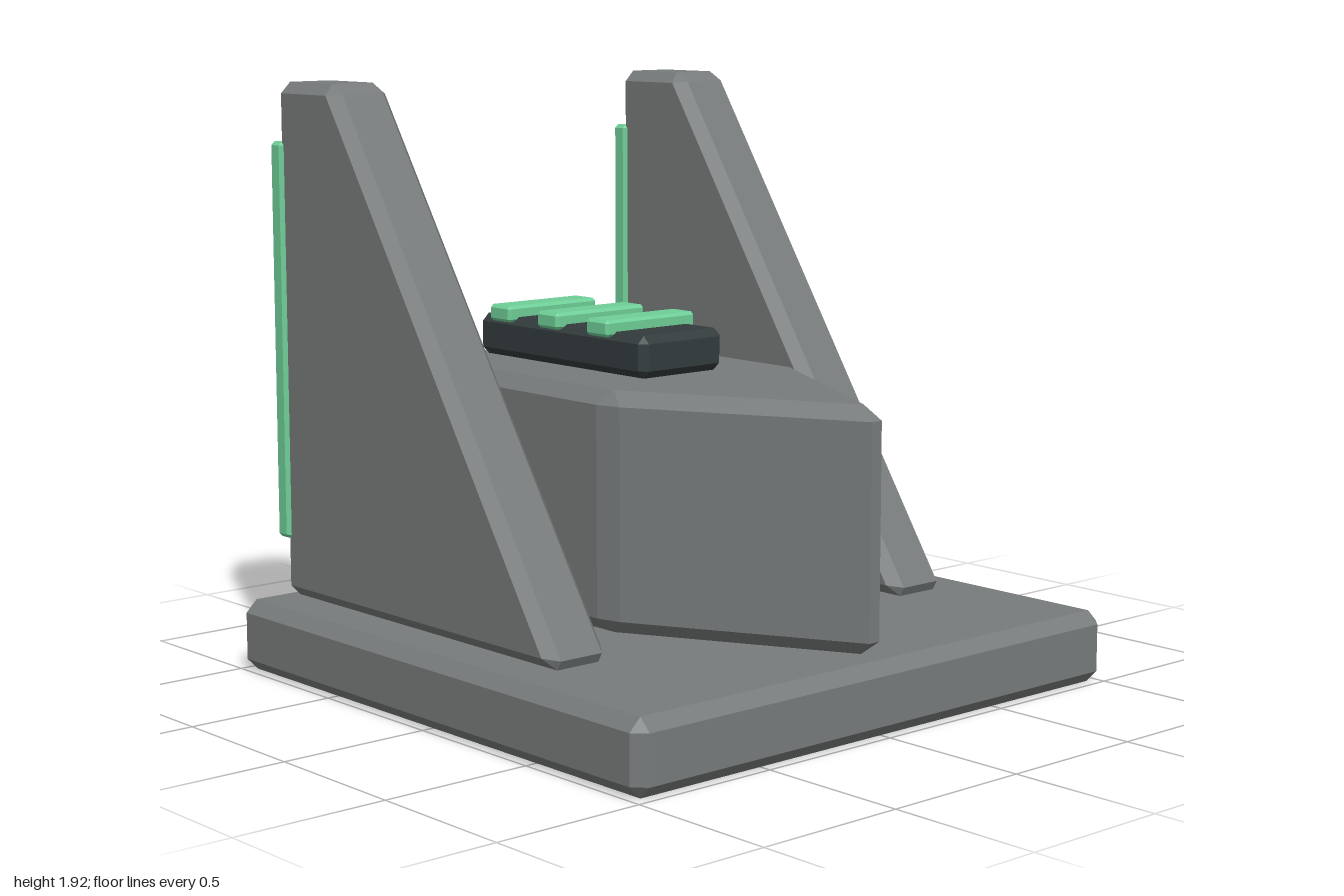
import * as THREE from 'three';
import { ConvexGeometry } from 'three/addons/geometries/ConvexGeometry.js';

// Convex prism with every edge chamfered by d; place() maps (u, v, w) into space.
function chamferedPrism(outline, w0, w1, d, place) {
  const pts = outline.map(([u, v]) => new THREE.Vector2(u, v));
  const out = [];
  pts.forEach((p, i) => {
    const prev = pts[(i + pts.length - 1) % pts.length];
    const next = pts[(i + 1) % pts.length];
    const a = prev.clone().sub(p).normalize();
    const b = next.clone().sub(p).normalize();
    const inset = p.clone().addScaledVector(a.clone().add(b), d / Math.abs(a.cross(b)));
    const sideA = p.clone().addScaledVector(a, d);
    const sideB = p.clone().addScaledVector(b, d);
    for (const [cap, wall] of [[w0, w0 + d], [w1, w1 - d]]) {
      out.push(place(inset.x, inset.y, cap), place(sideA.x, sideA.y, wall), place(sideB.x, sideB.y, wall));
    }
  });
  return new ConvexGeometry(out);
}

const upright = (u, v, w) => new THREE.Vector3(u, w, v); // plan (x, z), extruded in y
const sideways = (u, v, w) => new THREE.Vector3(w, v, u); // profile (z, y), extruded in x

function chamferedBox(x0, x1, y0, y1, z0, z1, d) {
  return chamferedPrism([[x0, z0], [x1, z0], [x1, z1], [x0, z1]], y0, y1, d, upright);
}

export function createModel() {
  const model = new THREE.Group();
  model.name = 'finnedConsole';
  const material = (name, color) => {
    const m = new THREE.MeshStandardMaterial({ color });
    m.name = name;
    return m;
  };
  const grey = material('grey metal', 0x777b7b);
  const dark = material('dark panel', 0x333b3d);
  const green = material('green light', 0x6fcf97);

  const add = (name, geometry, mat) => {
    const mesh = new THREE.Mesh(geometry, mat);
    mesh.name = name;
    model.add(mesh);
  };

  // Square base slab
  add('base', chamferedBox(-1, 1, 0, 0.235, -1, 1, 0.04), grey);

  // Central block with a pointed prow
  const plan = [[-0.42, -0.85], [0.42, -0.85], [0.42, 0.18], [0, 0.97], [-0.42, 0.18]];
  add('prowBlock', chamferedPrism(plan, 0.235, 1, 0.045, upright), grey);

  // Dark console with three light bars
  add('console', chamferedBox(-0.175, 0.175, 1, 1.137, -0.77, 0.075, 0.025), dark);
  for (const z of [-0.637, -0.387, -0.137]) {
    add('lightBar', chamferedBox(-0.19, 0.19, 1.12, 1.175, z - 0.054, z + 0.054, 0.01), green);
  }

  // Side fins, each with a light panel on its back edge
  const finProfile = [[-0.96, 0.235], [0.453, 0.235], [-0.655, 1.925], [-0.96, 1.925]];
  for (const [side, s] of [['left', 1], ['right', -1]]) {
    const x = s * 0.732;
    add(side + 'Fin', chamferedPrism(finProfile, x - 0.115, x + 0.115, 0.036, sideways), grey);
    add(side + 'BackLight', chamferedBox(x - 0.127, x + 0.127, 0.43, 1.733, -0.98, -0.915, 0.012), green);
  }
  return model;
}
